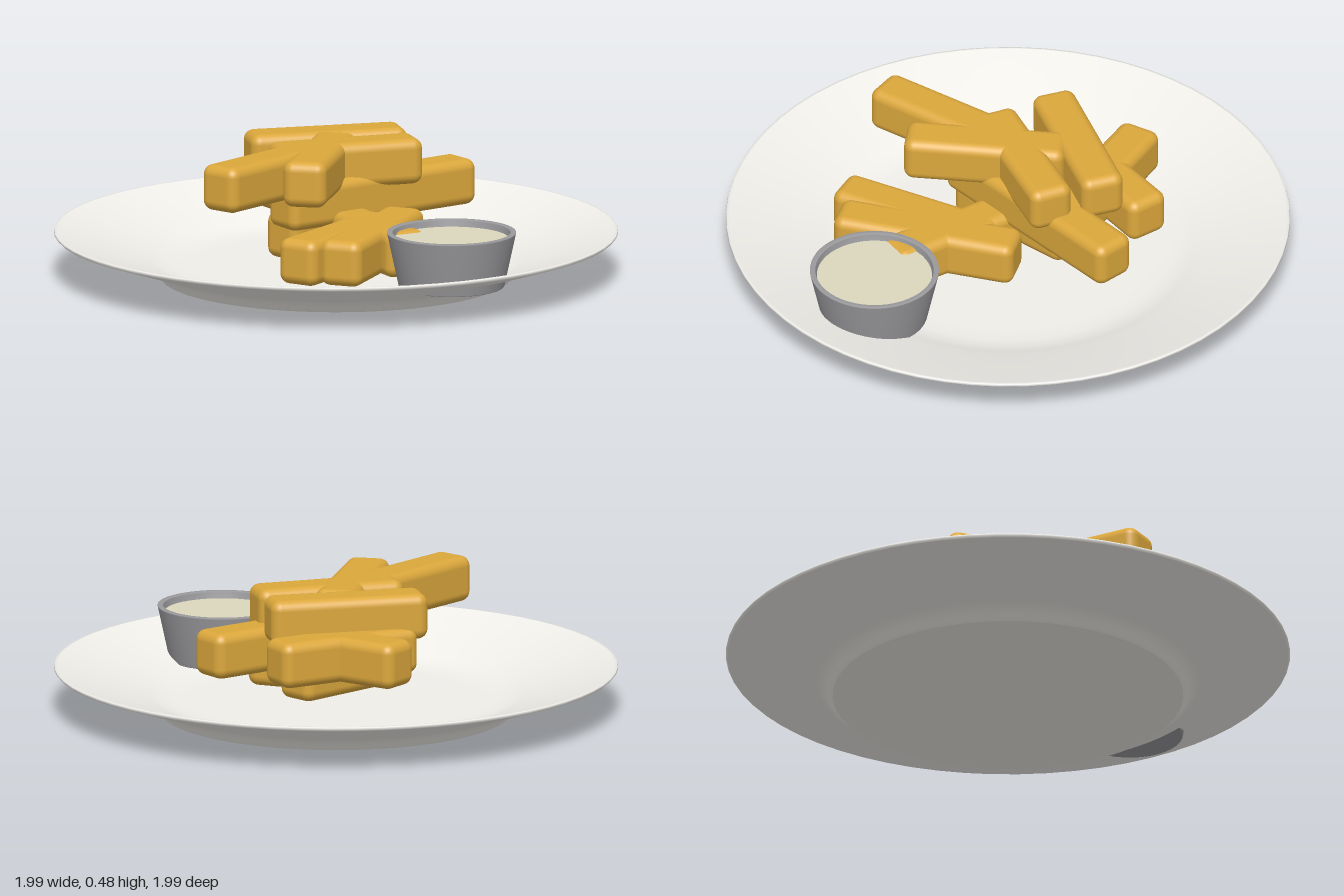
import * as THREE from 'three';
import { RoundedBoxGeometry } from 'three/addons/geometries/RoundedBoxGeometry.js';

const material = (color) => new THREE.MeshStandardMaterial({ color, side: THREE.DoubleSide });

// Turned part from [radius, height] pairs
function turned(name, points, mat, segments = 48) {
  const profile = points.map(([r, y]) => new THREE.Vector2(r, y));
  const mesh = new THREE.Mesh(new THREE.LatheGeometry(profile, segments), mat);
  mesh.name = name;
  return mesh;
}

export function createModel() {
  const model = new THREE.Group();
  model.name = 'plateOfFries';

  // Shallow plate: underside, thin rim, sloped inside and flat floor
  model.add(turned('plate', [
    [0, 0], [0.618, 0], [0.62, 0], [0.635, 0.016], [0.652, 0.036], [0.68, 0.051],
    [0.99, 0.153], [0.997, 0.16], [0.995, 0.167], [0.985, 0.168],
    [0.72, 0.086], [0.66, 0.064], [0.62, 0.05], [0.57, 0.042], [0.5, 0.04], [0, 0.04],
  ], material(0xf0eee9), 64));

  // Dip cup, sunk slightly into the slope of the plate
  const cup = new THREE.Group();
  cup.name = 'dipCup';
  cup.position.set(0.577, 0.07, 0.303);
  cup.add(turned('cupWall', [
    [0, 0], [0.183, 0], [0.187, 0.003], [0.228, 0.192], [0.228, 0.197],
    [0.21, 0.197], [0.208, 0.192], [0.18, 0.03], [0, 0.03],
  ], material(0x9b9b9e)));
  const dip = new THREE.Mesh(new THREE.CircleGeometry(0.204, 48), material(0xdcd6bd));
  dip.name = 'dip';
  dip.rotation.x = -Math.PI / 2;
  dip.position.y = 0.172;
  cup.add(dip);
  model.add(cup);

  // Fries in three layers; each is [x1, z1, x2, z2] between its ends
  const layers = [
    { name: 'bottomFry', y: 0.168, fries: [
      [0.10, 0.59, 0.19, 0], [0.25, 0.55, 0.22, -0.11],
      [0.41, 0.30, 0.02, -0.01], [0.05, -0.26, -0.13, 0.20]] },
    { name: 'middleFry', y: 0.28, fries: [
      [-0.42, -0.36, 0.13, -0.25], [0, -0.53, -0.32, -0.08],
      [0.28, -0.50, -0.12, 0.22]] },
    { name: 'topFry', y: 0.398, fries: [
      [-0.36, -0.04, 0.09, -0.39], [0.21, -0.24, -0.19, 0.12],
      [-0.08, -0.19, 0.035, 0.37], [-0.22, 0.55, -0.05, -0.04]] },
  ];
  const fryMaterial = material(0xdba73c);
  for (const { name, y, fries } of layers) {
    fries.forEach(([x1, z1, x2, z2], i) => {
      const length = Math.hypot(x2 - x1, z2 - z1);
      const fry = new THREE.Mesh(new RoundedBoxGeometry(length, 0.164, 0.156, 4, 0.036), fryMaterial);
      fry.name = name + (i + 1);
      fry.position.set((x1 + x2) / 2, y, (z1 + z2) / 2);
      fry.rotation.y = Math.atan2(z1 - z2, x2 - x1);
      model.add(fry);
    });
  }
  return model;
}
